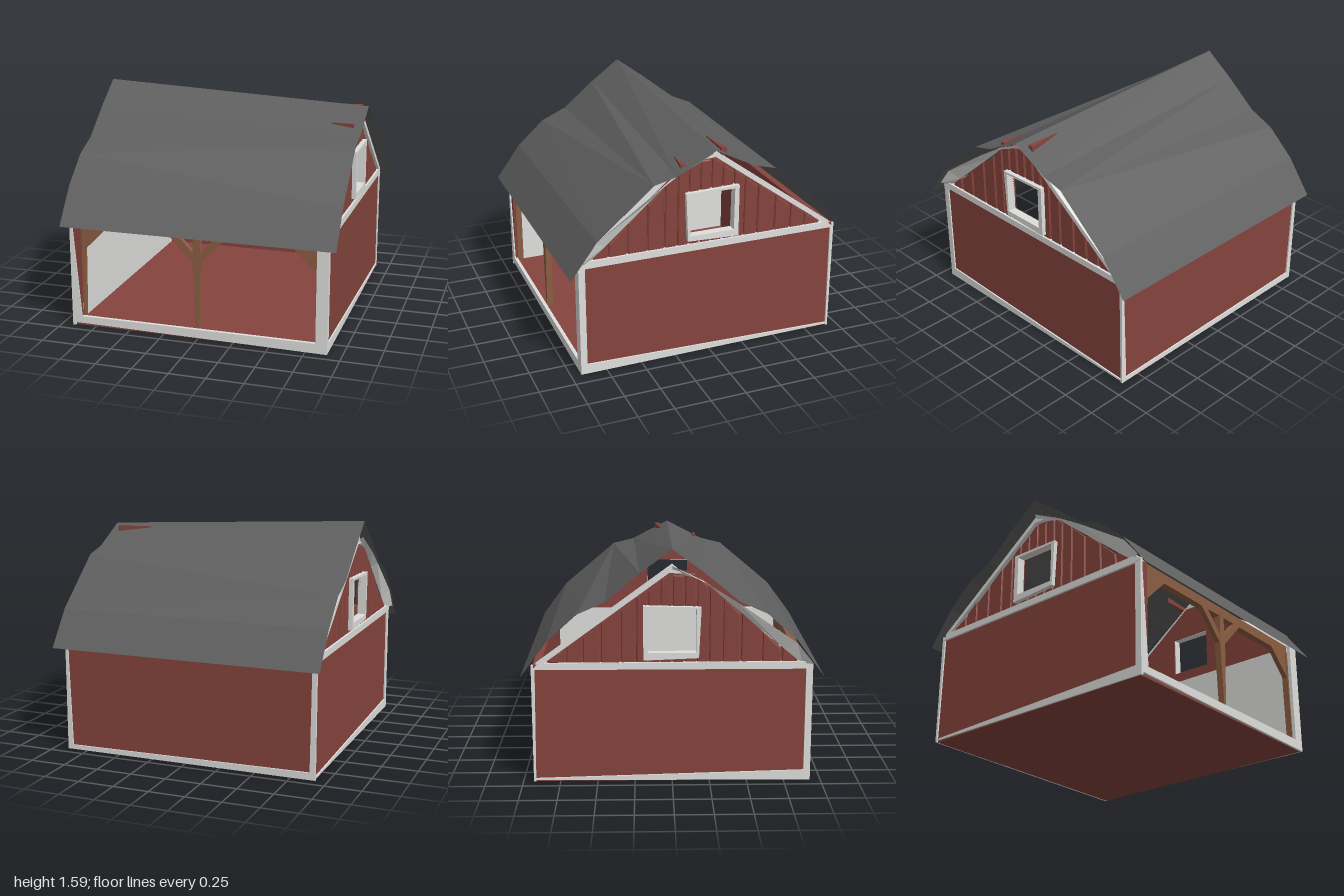
import * as THREE from 'three';

const mat = (name, color) => {
  const m = new THREE.MeshStandardMaterial({ color, side: THREE.DoubleSide, flatShading: true });
  m.name = name;
  return m;
};

export function createModel() {
  const red = mat('barn red', 0x86443d);
  const white = mat('trim white', 0xdfe0dd);
  const grey = mat('roof grey', 0x5f5f5f);
  const wood = mat('timber brown', 0x8c5e42);

  const model = new THREE.Group();
  model.name = 'barn';
  const body = new THREE.Group();
  body.name = 'body';
  body.position.x = -0.01;
  model.add(body);

  const add = (name, geo, material, parent = body) => {
    const mesh = new THREE.Mesh(geo, material);
    mesh.name = name;
    parent.add(mesh);
    return mesh;
  };
  const box = (name, m, x0, x1, y0, y1, z0, z1) => {
    const g = new THREE.BoxGeometry(x1 - x0, y1 - y0, z1 - z0);
    g.translate((x0 + x1) / 2, (y0 + y1) / 2, (z0 + z1) / 2);
    return add(name, g, m);
  };
  const extrude = (pts, depth, hole, bevel = 0) => {
    const shape = new THREE.Shape(pts.map(p => new THREE.Vector2(...p)));
    if (hole) shape.holes.push(new THREE.Path(hole.map(p => new THREE.Vector2(...p))));
    return new THREE.ExtrudeGeometry(shape, {
      depth, bevelEnabled: bevel > 0, bevelSize: bevel, bevelOffset: -bevel,
      bevelThickness: bevel, bevelSegments: 1,
    });
  };
  // outline in x, y, facing front or back
  const facing = (name, m, pts, z0, z1) => {
    const g = extrude(pts, z1 - z0);
    g.translate(0, 0, z0);
    return add(name, g, m);
  };
  // outline in z, y on either end wall (s = 1 or -1), from |x| = x0 to x1
  const endPanel = (name, m, s, pts, x0, x1, hole, bevel) => {
    const g = extrude(pts, x1 - x0, hole, bevel);
    g.rotateY(-Math.PI / 2);
    g.translate(s > 0 ? x1 : -x0, 0, 0);
    return add(name, g, m);
  };
  // open surface between two lines of points
  const strip = (a, b) => {
    const pos = [];
    for (let i = 0; i < a.length - 1; i++) {
      pos.push(...a[i], ...a[i + 1], ...b[i + 1], ...a[i], ...b[i + 1], ...b[i]);
    }
    const g = new THREE.BufferGeometry();
    g.setAttribute('position', new THREE.Float32BufferAttribute(pos, 3));
    g.computeVertexNormals();
    return g;
  };

  // Sagging roof: each slope is folded between two different end profiles
  const left = [[0, 1.585], [0.21, 1.43], [0.44, 1.24], [0.62, 1.16], [0.82, 0.98], [1, 0.735]];
  const right = [[0, 1.49], [0.27, 1.35], [0.43, 1.31], [0.43, 1.31], [0.82, 0.98], [1, 0.735]];
  for (const s of [1, -1]) {
    const l = left.map(([z, y]) => [-0.96, y, s * z]);
    const r = right.map(([z, y]) => [0.96, y, s * z]);
    if (s > 0) add('frontRoofSlope', strip(l, r), grey, model);
    else add('backRoofSlope', strip(r.reverse(), l.reverse()), grey, model);
  }
  // Board tips poking through the roof
  const tips = [[[[0.65, -0.06], [0.9, -0.1], [0.9, -0.06]], 1.482],
    [[[0.74, 0.205], [0.9, 0.19], [0.9, 0.225]], 1.403]];
  for (const [pts, y] of tips) {
    const g = extrude(pts, 0.05);
    g.rotateX(Math.PI / 2);
    g.translate(0, y, 0);
    add('boardTip', g, red, model);
  }

  // Floor and back wall
  box('floor', red, -0.9, 0.9, 0, 0.06, -0.92, 0.915);
  box('backWall', red, -0.9, 0.9, 0.02, 0.81, -0.92, -0.87);
  facing('backBottomTrim', white, [[-0.91, 0], [0.91, 0], [0.91, 0.03], [-0.91, 0.05]], -0.93, -0.915);
  facing('backLeftCornerTrim', white, [[0.91, 0], [0.91, 0.81], [0.895, 0.81], [0.87, 0]], -0.93, -0.915);
  facing('backRightCornerTrim', white, [[-0.91, 0], [-0.91, 0.81], [-0.88, 0.81], [-0.87, 0]], -0.93, -0.915);

  // Front trim
  facing('frontSill', white, [[-0.91, 0.02], [0.91, 0], [0.83, 0.07], [-0.84, 0.07]], 0.905, 0.93);
  facing('frontLeftCornerTrim', white, [[0.91, 0], [0.91, 0.8], [0.83, 0.8], [0.83, 0.07]], 0.905, 0.93);
  facing('frontRightCornerTrim', white, [[-0.91, 0.02], [-0.84, 0.07], [-0.895, 0.8], [-0.905, 0.8]], 0.905, 0.93);
  facing('frontRightWallEdge', red, [[-0.84, 0.07], [-0.83, 0.8], [-0.895, 0.8]], 0.9, 0.92);

  // Posts, braces and header beam
  box('headerBeam', wood, -0.83, 0.83, 0.74, 0.81, 0.85, 0.9);
  facing('centrePost', wood, [[-0.008, 0.06], [0.008, 0.06], [0.03, 0.55], [0.02, 0.76], [-0.02, 0.76], [-0.03, 0.55]], 0.86, 0.905);
  for (const s of [1, -1]) {
    const mx = pts => pts.map(([x, y]) => [s * x, y]);
    facing('centreBrace', wood, mx([[0.02, 0.53], [0.24, 0.76], [0.17, 0.76], [0.02, 0.6]]), 0.865, 0.9);
    facing('sidePost', wood, mx([[0.835, 0.06], [0.835, 0.76], [0.81, 0.76], [0.825, 0.06]]), 0.86, 0.905);
    facing('cornerBrace', wood, mx([[0.82, 0.55], [0.82, 0.76], [0.61, 0.76]]), 0.865, 0.9);
  }

  // Gable outline: front half slightly steeper than the back half
  const top = z => Math.min(1.42, z > 0 ? 0.84 + (0.82 - z) * 0.87 : 1.43 + z * 0.72);
  const opening = [[0.16, 0.89], [0.16, 1.19], [-0.16, 1.19], [-0.16, 0.89]];
  const edges = [0.83, 0.72, 0.59, 0.45, 0.33, 0.24, 0.16, 0.08, 0, -0.08, -0.16, -0.24, -0.34, -0.47, -0.59, -0.7, -0.82];

  for (const s of [1, -1]) {
    // Lower end wall with pale lining
    endPanel('endWall', red, s, [[0.92, 0.02], [0.92, 0.8], [-0.92, 0.8], [-0.92, 0.02]], 0.865, 0.9);
    endPanel('wallLining', white, s, [[0.9, 0.06], [0.9, 0.8], [-0.87, 0.8], [-0.87, 0.06]], 0.83, 0.864);
    endPanel('endBottomTrim', white, s, [[0.93, 0], [0.89, 0.07], [-0.92, 0.022], [-0.92, 0.01]], 0.89, 0.91);
    endPanel('endFrontCornerTrim', white, s, [[0.93, 0], [0.93, 0.81], [0.885, 0.78], [0.885, 0.07]], 0.89, 0.91);
    endPanel('endBackCornerTrim', white, s, [[-0.93, 0], [-0.93, 0.79], [-0.905, 0.79], [-0.915, 0]], 0.89, 0.91);
    endPanel('endBand', white, s, [[0.93, 0.79], [0.9, 0.83], [-0.88, 0.825], [-0.92, 0.78], [0.885, 0.78]], 0.87, 0.915);

    // Gable backing and separate boards
    endPanel('gableWall', red, s, [[0.85, 0.8], [0.2, 1.37], [0.08, 1.43], [-0.03, 1.43], [-0.86, 0.8]], 0.86, 0.885, opening);
    for (let i = 0; i < edges.length - 1; i++) {
      const a = edges[i] - 0.003, b = edges[i + 1] + 0.003;
      const drop = i % 2 ? 0.015 : 0;
      const board = (y0, ya, yb) => endPanel('gableBoard', red, s,
        [[a, y0], [a - 0.004, ya], [b + 0.004, yb], [b, y0]], 0.888, 0.893, null, 0.007);
      const ta = Math.max(top(a) - drop, 0.85), tb = Math.max(top(b) - drop, 0.85);
      if (Math.abs((a + b) / 2) < 0.16) {
        board(1.195, ta, tb);
        board(0.82, 0.885, 0.885);
      } else board(0.82, ta, tb);
    }

    // Crooked window frame
    endPanel('windowFrame', white, s, [[0.19, 1.2], [-0.19, 1.21], [-0.19, 0.845], [0.175, 0.86]], 0.87, 0.93,
      [[0.16, 0.895], [0.16, 1.185], [-0.158, 1.19], [-0.155, 0.895]]);

    // Back rake board, front soffit under the roof edge
    endPanel('backRake', white, s, [[0.06, 1.42], [0, 1.48], [-0.9, 0.82], [-0.85, 0.82], [-0.02, 1.425]], 0.87, 0.915);
    const outer = [[0.93, 0.82], [0.82, 0.96], [0.43, 1.23], [0.24, 1.35], [0, 1.475]];
    const inner = [[0.86, 0.81], [0.74, 0.91], [0.4, 1.2], [0.2, 1.37], [0, 1.43]];
    const at = (pts, x) => pts.map(([z, y]) => [s * x, y, z]);
    const o = at(outer, 0.94), n = at(inner, 0.898);
    add('frontSoffit', s > 0 ? strip(o, n) : strip(n, o), white);
  }
  return model;
}
